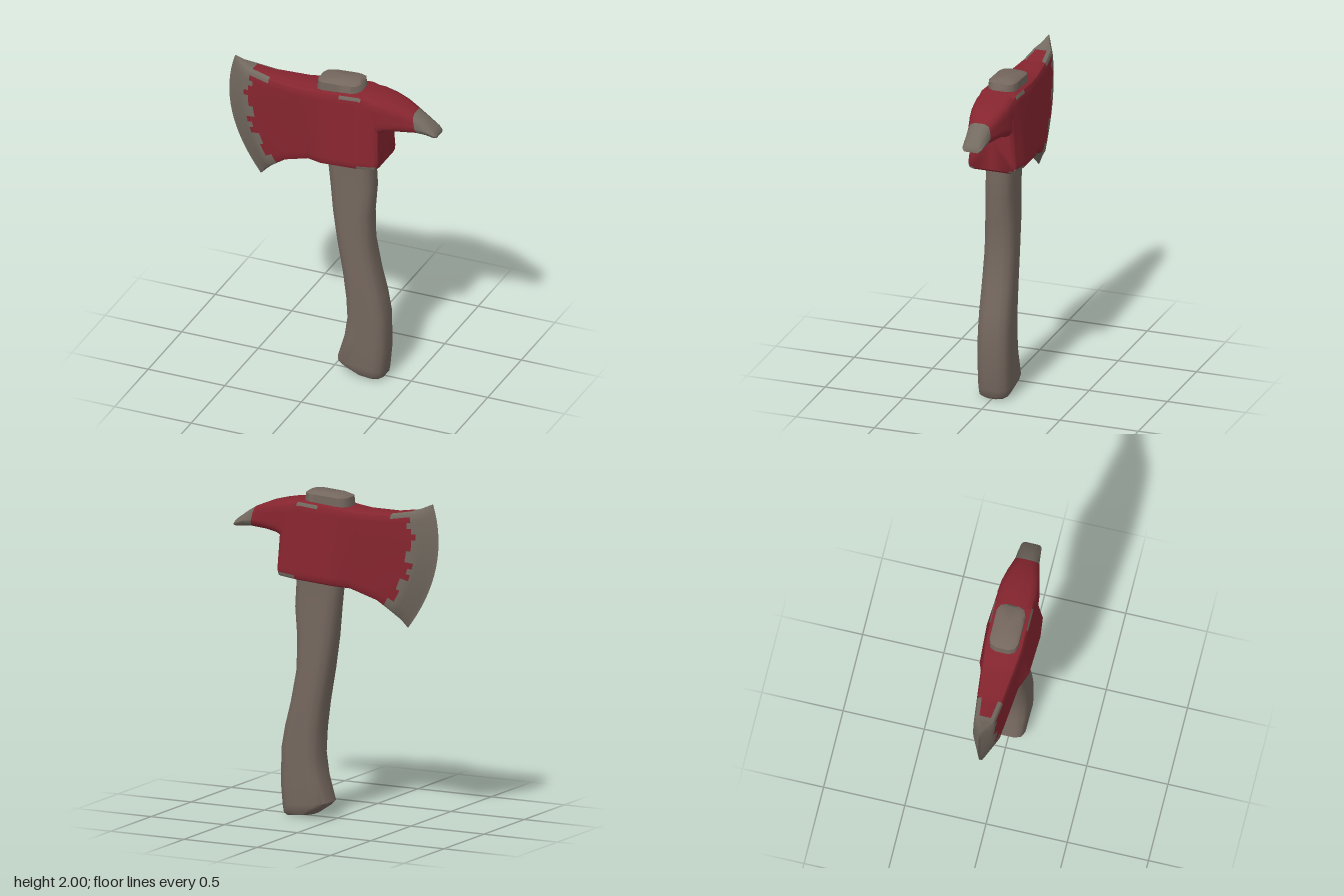
import * as THREE from 'three';
import { toCreasedNormals } from 'three/addons/utils/BufferGeometryUtils.js';

const lerp = THREE.MathUtils.lerp;

// Section: [x0, y0, x1, y1, halfZ0, halfZ1, bow]. A rounded ring spans from point 0 to point 1.
function ring(s, radius, sides) {
  const [x0, y0, x1, y1, z0, z1, bow = 0] = s;
  const len = Math.hypot(x1 - x0, y1 - y0);
  const corner = (w) => Math.min(radius, w * 0.9, len * 0.45);
  const c0 = corner(z0), c1 = corner(z1);
  const half = [[0, 0], [z0 - c0, 0], [z0 - 0.3 * c0, 0.3 * c0]];
  for (let k = 0; k <= sides; k++) {
    const f = k / sides;
    half.push([lerp(z0, z1, f), lerp(c0, len - c1, f)]);
  }
  half.push([z1 - 0.3 * c1, len - 0.3 * c1], [z1 - c1, len], [0, len]);
  const back = half.slice(1, -1).reverse().map(([z, d]) => [-z, d]);
  return half.concat(back).map(([z, d]) => {
    const t = d / len;
    return new THREE.Vector3(lerp(x0, x1, t) + bow * 4 * t * (1 - t), lerp(y0, y1, t), z);
  });
}

// Skins the sections, closes both ends; paint(centre, u) picks a material index per quad.
function loft(name, sections, materials, { radius = 0.04, sides = 4, steps = 1, crease = 0.7, paint = () => 0 } = {}) {
  const rings = [], us = [];
  for (let i = 0; i < sections.length - 1; i++) {
    for (let k = 0; k < steps; k++) {
      const f = k / steps;
      rings.push(ring(sections[i].map((v, n) => lerp(v, sections[i + 1][n], f)), radius, sides));
      us.push(i + f);
    }
  }
  rings.push(ring(sections[sections.length - 1], radius, sides));
  const lists = materials.map(() => []);
  const n = rings[0].length;
  for (let i = 0; i < rings.length - 1; i++) {
    for (let j = 0; j < n; j++) {
      const a = rings[i][j], b = rings[i][(j + 1) % n];
      const c = rings[i + 1][j], d = rings[i + 1][(j + 1) % n];
      const mid = a.clone().add(b).add(c).add(d).multiplyScalar(0.25);
      lists[paint(mid, us[i])].push(a, c, b, b, c, d);
    }
  }
  const cap = (r, u, flip) => {
    const mid = r.reduce((m, p) => m.add(p), new THREE.Vector3()).divideScalar(n);
    const list = lists[paint(mid, u)];
    r.forEach((p, j) => {
      const q = r[(j + 1) % n];
      list.push(mid, flip ? q : p, flip ? p : q);
    });
  };
  cap(rings[0], 0, false);
  cap(rings[rings.length - 1], sections.length - 1, true);

  let geo = new THREE.BufferGeometry().setFromPoints(lists.flat());
  geo = toCreasedNormals(geo, crease);
  let start = 0;
  lists.forEach((l, m) => {
    if (l.length) geo.addGroup(start, l.length, m);
    start += l.length;
  });
  const mesh = new THREE.Mesh(geo, materials);
  mesh.name = name;
  return mesh;
}

export function createModel() {
  const mat = (name, color) => {
    const m = new THREE.MeshStandardMaterial({ color });
    m.name = name;
    return m;
  };
  const wood = mat('wood', 0x74675e);
  const red = mat('redPaint', 0x86252f);
  const steel = mat('bareSteel', 0x736a60);
  const axe = new THREE.Group();
  axe.name = 'axe';

  // Curved handle, from inside the head down to the slanted foot
  const handle = [
    [-0.03, 1.6, 0.26, 1.6, 0.08],
    [-0.03, 1.42, 0.262, 1.42, 0.082],
    [-0.015, 1.28, 0.27, 1.28, 0.082],
    [0.005, 1.1, 0.252, 1.1, 0.09],
    [0.035, 0.9, 0.255, 0.9, 0.093],
    [0.072, 0.7, 0.292, 0.7, 0.097],
    [0.095, 0.53, 0.33, 0.55, 0.099],
    [0.104, 0.38, 0.353, 0.42, 0.1],
    [0.085, 0.25, 0.358, 0.2, 0.1],
    [0.04, 0.095, 0.345, 0.06, 0.1],
    [0.065, 0.07, 0.338, 0.015, 0.097],
    [0.14, 0.018, 0.325, 0, 0.08],
  ].map((s) => [...s, s[4], 0]);
  axe.add(loft('handle', handle, [wood], { radius: 0.055, crease: 0.9 }));

  // Handle end poking out of the head
  const knob = [
    [-0.06, 1.985, 0.17, 2.0, 0.068],
    [-0.09, 1.97, 0.19, 1.985, 0.088],
    [-0.1, 1.88, 0.2, 1.88, 0.09],
  ].map((s) => [...s, s[4], 0]);
  axe.add(loft('handleTop', knob, [wood], { radius: 0.05, crease: 0.9 }));

  // Blade and eye block; bare steel on the cutting edge and on worn corners
  const head = [
    [-0.48, 1.21, -0.65, 1.98, 0.004, 0.004, -0.105],
    [-0.395, 1.3, -0.545, 1.935, 0.066, 0.062, -0.08],
    [-0.3, 1.37, -0.4, 1.91, 0.085, 0.08, -0.03],
    [-0.13, 1.43, -0.2, 1.905, 0.11, 0.102, 0],
    [-0.03, 1.442, -0.05, 1.92, 0.152, 0.118, 0],
    [0.21, 1.462, 0.2, 1.94, 0.165, 0.12, 0],
    [0.325, 1.472, 0.3, 1.915, 0.152, 0.115, 0],
    [0.338, 1.485, 0.325, 1.88, 0.135, 0.105, 0],
  ];
  const headPaint = (p, u) => {
    const jag = 0.1 + 0.12 * Math.sin(p.y * 31) + 0.08 * Math.sin(p.y * 73);
    if (u < 1 + jag) return 1;
    const topWear = u < 2 && p.y > 1.89 && Math.abs(p.z) > 0.04;
    const lowWear = u < 1.5 && p.y < 1.38;
    const rimWear = p.x > 0.2 && p.y < 1.495 && Math.abs(p.z) > 0.11;
    const shoulderWear = p.x > 0.08 && p.x < 0.22 && p.y > 1.9 && Math.abs(p.z) > 0.105;
    return topWear || lowWear || rimWear || shoulderWear ? 1 : 0;
  };
  axe.add(loft('bladeAndEye', head, [red, steel], { radius: 0.03, sides: 16, steps: 6, paint: headPaint }));

  // Drooping pick with a bare steel tip
  const pick = [
    [0.16, 1.68, 0.16, 1.942, 0.11, 0.11],
    [0.3, 1.69, 0.29, 1.932, 0.128, 0.118],
    [0.36, 1.724, 0.37, 1.917, 0.122, 0.112],
    [0.45, 1.735, 0.45, 1.897, 0.102, 0.095],
    [0.56, 1.737, 0.535, 1.862, 0.075, 0.07],
    [0.62, 1.732, 0.6, 1.822, 0.069, 0.064],
    [0.67, 1.729, 0.665, 1.772, 0.062, 0.056],
    [0.685, 1.732, 0.682, 1.752, 0.05, 0.045],
  ].map((s) => [...s, 0]);
  axe.add(loft('pick', pick, [red, steel], { radius: 0.04, crease: 0.8, paint: (p, u) => (u >= 4 ? 1 : 0) }));

  return axe;
}
